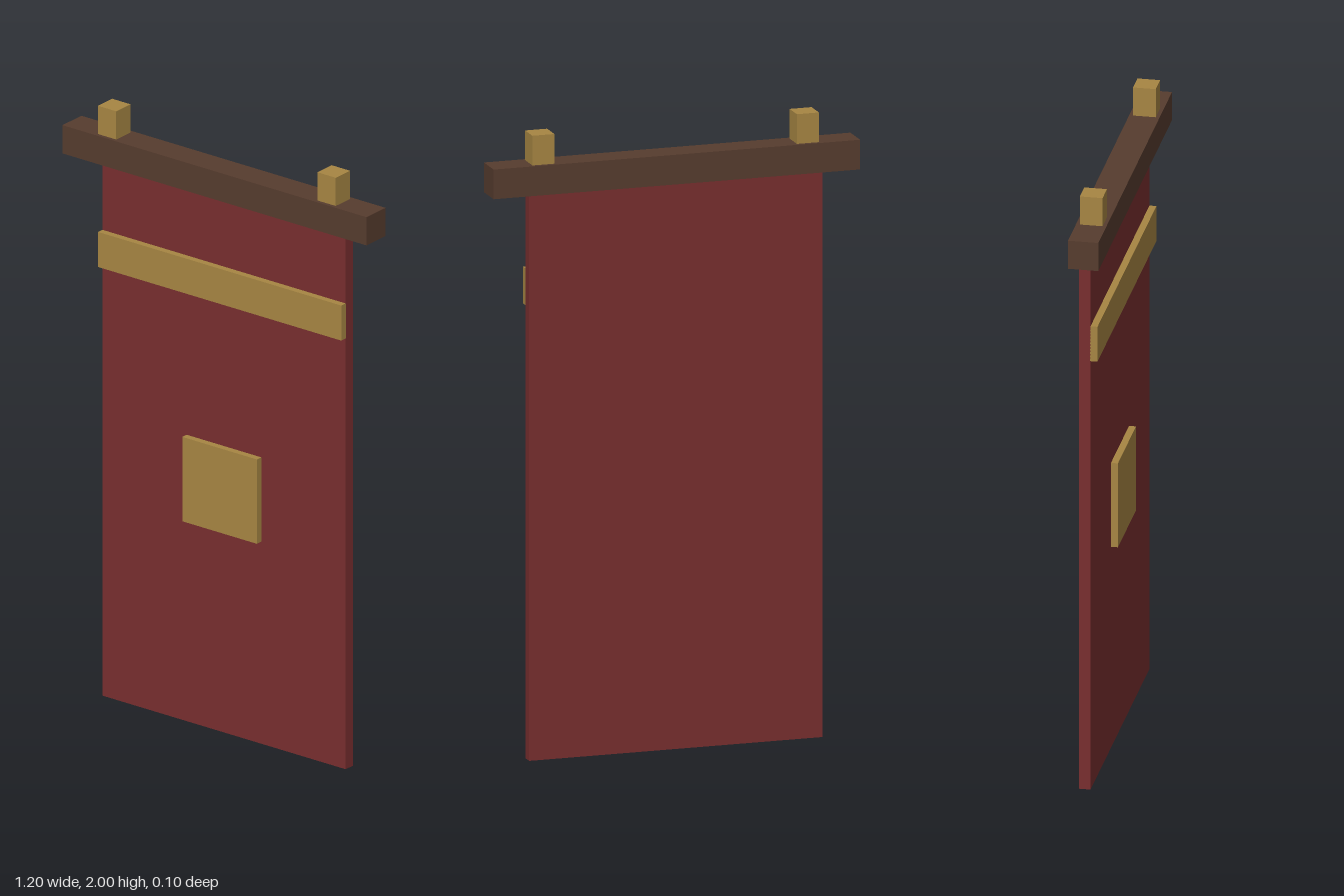
import * as THREE from 'three';

const material = (name, color) => {
  const m = new THREE.MeshStandardMaterial({ color });
  m.name = name;
  return m;
};

// Box given by its minimum and maximum corners
function block(name, mat, [x0, y0, z0], [x1, y1, z1]) {
  const mesh = new THREE.Mesh(new THREE.BoxGeometry(x1 - x0, y1 - y0, z1 - z0), mat);
  mesh.position.set((x0 + x1) / 2, (y0 + y1) / 2, (z0 + z1) / 2);
  mesh.name = name;
  return mesh;
}

export function createModel() {
  const red = material('red cloth', 0x782e2f);
  const gold = material('gold', 0xa78643);
  const wood = material('dark wood', 0x563c2e);

  const banner = new THREE.Group();
  banner.name = 'hangingBanner';

  // Cloth, hung just behind the centre of the bar
  banner.add(block('cloth', red, [-0.48, 0, -0.037], [0.48, 1.81, 0]));

  // Raised trim on the front of the cloth
  banner.add(block('stripe', gold, [-0.48, 1.45, -0.002], [0.48, 1.568, 0.022]));
  banner.add(block('emblemSquare', gold, [-0.147, 0.68, -0.002], [0.147, 0.964, 0.022]));

  // Crossbar with two hanging pegs
  banner.add(block('crossbar', wood, [-0.6, 1.81, -0.048], [0.6, 1.905, 0.048]));
  for (const [name, x] of [['rightPeg', -0.433], ['leftPeg', 0.433]]) {
    banner.add(block(name, gold, [x - 0.036, 1.905, -0.036], [x + 0.036, 2, 0.036]));
  }
  return banner;
}
